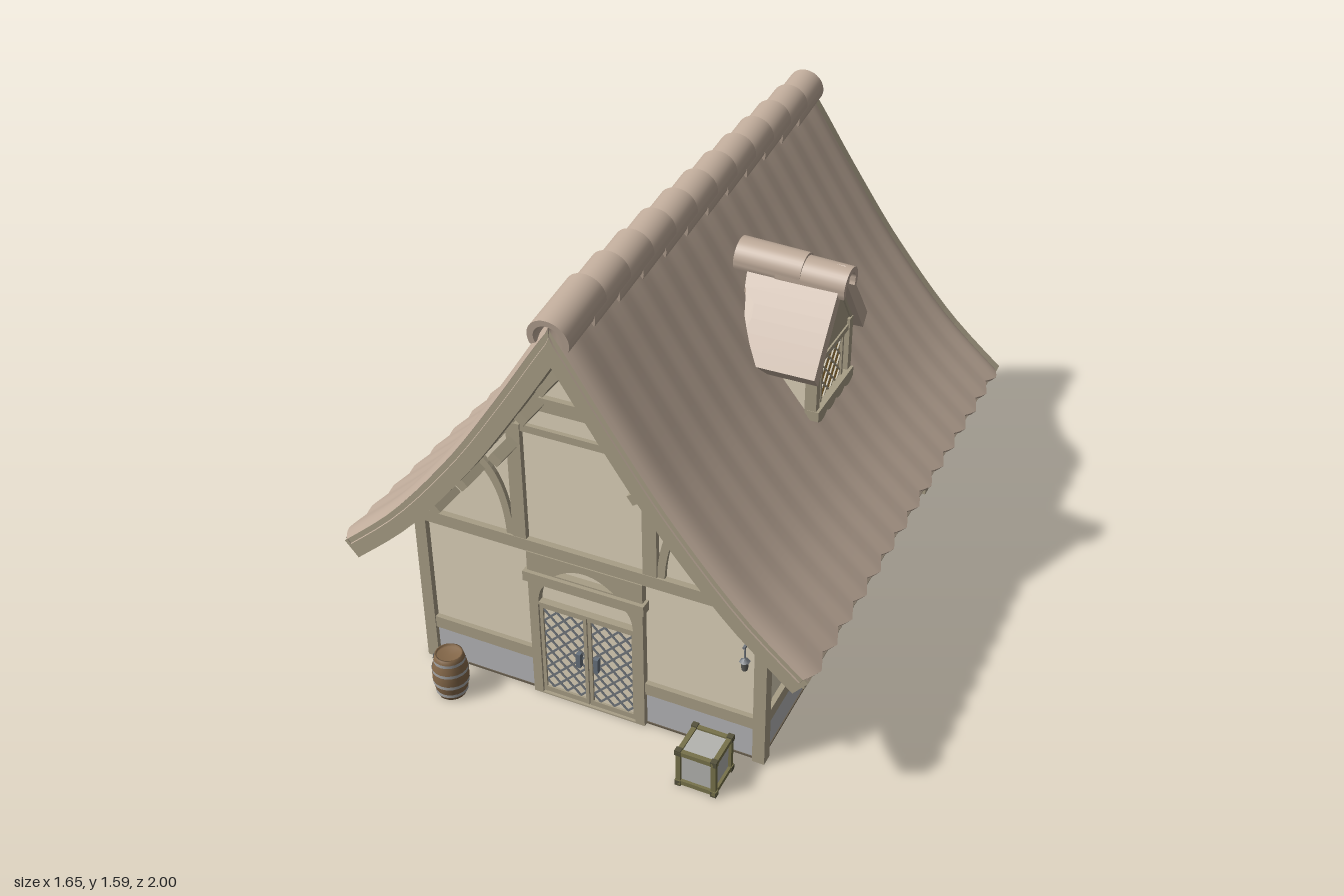
import * as THREE from 'three';
import { toCreasedNormals } from 'three/addons/utils/BufferGeometryUtils.js';

const V = (x, y) => new THREE.Vector2(x, y);
const mats = {};
const mat = (c) => (mats[c] ??= new THREE.MeshStandardMaterial({ color: c, side: THREE.DoubleSide }));
const TIMBER = 0xa89e86, WALL = 0xded3bb, ROOF = 0xbfab9a, STONE = 0xb6b6b8, GLASS = 0xa8823e, IRON = 0x72777d;

function add(parent, name, geo, color) {
  const m = new THREE.Mesh(geo, mat(color));
  m.name = name;
  parent.add(m);
  return m;
}
// box given by its limits
function box(parent, name, x0, x1, y0, y1, z0, z1, color = TIMBER) {
  const m = add(parent, name, new THREE.BoxGeometry(x1 - x0, y1 - y0, z1 - z0), color);
  m.position.set((x0 + x1) / 2, (y0 + y1) / 2, (z0 + z1) / 2);
  return m;
}
function group(parent, name) {
  const g = new THREE.Group();
  g.name = name;
  parent.add(g);
  return g;
}
function prism(shape, z0, z1) {
  return new THREE.ExtrudeGeometry(shape, { depth: z1 - z0, bevelEnabled: false, curveSegments: 12 }).translate(0, 0, z0);
}

// roof slope from ridge to eave, with inward offsets
const slope = new THREE.SplineCurve([V(0, 1.55), V(0.07, 1.452), V(0.213, 1.235), V(0.39, 0.985), V(0.613, 0.724), V(0.827, 0.533)]);
function roofPoint(t, d) {
  const p = slope.getPoint(t), g = slope.getTangent(t);
  return V(p.x + g.y * d, p.y - g.x * d);
}
function offset(d, tEnd = 1) {
  const pts = [];
  for (let i = 0; i <= 24; i++) pts.push(roofPoint((i / 24) * tEnd, d));
  return [V(0, 1.55 - d / slope.getTangent(0).x), ...pts.filter((p) => p.x > 0.002)];
}
function slopeBands(parent, name, d0, d1, z0, z1, color, tEnd = 1) {
  const pts = [...offset(d0, tEnd), ...offset(d1, tEnd).reverse()];
  for (const s of [1, -1]) add(parent, name, prism(new THREE.Shape(pts.map((p) => V(p.x * s, p.y))), z0, z1), color);
}

// tiled skin with a zigzag eave and rolled verges
function tileSkin(s) {
  const nz = 120, n = 20, rows = 2 * n + 2, pos = [], idx = [];
  for (let i = 0; i <= nz; i++) {
    const u = i / nz, z = 0.942 - u * 1.917, f = (u * 15) % 1, tooth = Math.abs(2 * f - 1);
    const edge = Math.max(0, 1 - Math.min(u, 1 - u) / 0.025);
    for (let j = 0; j < rows; j++) {
      const inner = j > n, k = inner ? rows - 1 - j : j;
      const p = roofPoint((k / n) * (1 - 0.03 * tooth), (inner ? 0.025 : 0.004 * tooth) + 0.015 * edge * edge);
      pos.push(s * Math.max(0, p.x), p.y, z);
      if (i < nz && j < rows - 1) {
        const a = i * rows + j, b = a + rows;
        idx.push(...(s > 0 ? [a, a + 1, b, b, a + 1, b + 1] : [a, b, a + 1, b, b + 1, a + 1]));
      }
    }
  }
  const g = new THREE.BufferGeometry();
  g.setAttribute('position', new THREE.Float32BufferAttribute(pos, 3));
  g.setIndex(idx);
  return toCreasedNormals(g, 0.6);
}

// half-round ridge tile, running from z = 0 to z = len, front end lower
function ridgeTile(r, len, tilt) {
  const sh = new THREE.Shape();
  sh.absarc(0, 0, r, -0.45, Math.PI + 0.45, false);
  sh.absarc(0, 0, r - 0.02, Math.PI + 0.45, -0.45, true);
  return toCreasedNormals(prism(sh, 0, len), 0.5).rotateX(tilt);
}

// diamond lattice clipped to a rectangle centred on the origin
function lattice(parent, w, h, step, t, color) {
  for (const s of [1, -1]) {
    for (let c = -(w + h) / 2 + step / 2; c < (w + h) / 2; c += step) {
      const x0 = Math.max(-w / 2, -h / 2 - c), x1 = Math.min(w / 2, h / 2 - c);
      if (x1 - x0 < 0.004) continue;
      const bar = add(parent, 'latticeBar', new THREE.BoxGeometry((x1 - x0) * Math.SQRT2, t, t), color);
      bar.position.set(s * (x0 + x1) / 2, (x0 + x1) / 2 + c, 0);
      bar.rotation.z = s * Math.PI / 4;
    }
  }
}

// timber gable, facing +z with its wall at z = 0
function gable(parent, name) {
  const g = group(parent, name);
  slopeBands(g, 'gableRafter', 0.05, 0.088, -0.01, 0.018, TIMBER, 0.8);
  box(g, 'tieBeam', -0.62, 0.62, 0.583, 0.627, -0.01, 0.022);
  box(g, 'lowerCollar', -0.21, 0.21, 1.035, 1.06, -0.01, 0.015);
  box(g, 'upperCollar', -0.17, 0.17, 1.13, 1.178, -0.01, 0.02);
  box(g, 'kingPost', -0.012, 0.012, 1.17, 1.4, -0.01, 0.015);
  for (const s of [1, -1]) {
    box(g, 'gablePost', s * 0.229 - 0.024, s * 0.229 + 0.024, 0.62, 1.06, -0.01, 0.02);
    const b = new THREE.Shape();
    b.moveTo(s * 0.25, 0.62);
    b.quadraticCurveTo(s * 0.265, 0.85, s * 0.36, 0.905);
    b.lineTo(s * 0.385, 0.885);
    b.quadraticCurveTo(s * 0.285, 0.82, s * 0.277, 0.62);
    add(g, 'curvedBrace', prism(b, -0.01, 0.015), TIMBER);
    box(g, 'sill', s * 0.4 - 0.2, s * 0.4 + 0.2, 0.133, 0.178, -0.01, 0.018);
  }
  return g;
}

// casement window facing +z
function casement(parent) {
  const g = group(parent, 'sideWindow');
  box(g, 'glass', -0.105, 0.105, 0.21, 0.49, 0, 0.008, GLASS);
  for (const s of [1, -1]) {
    box(g, 'jamb', s * 0.116 - 0.016, s * 0.116 + 0.016, 0.2, 0.5, 0, 0.026);
    box(g, 'stile', s * 0.095 - 0.006, s * 0.095 + 0.006, 0.215, 0.49, 0, 0.016);
    box(g, 'glazingBar', s * 0.05 - 0.003, s * 0.05 + 0.003, 0.215, 0.49, 0, 0.013);
  }
  box(g, 'mullion', -0.009, 0.009, 0.21, 0.49, 0, 0.018);
  for (let i = 0; i < 4; i++) box(g, 'glazingBar', -0.1, 0.1, 0.235 + i * 0.075, 0.241 + i * 0.075, 0, 0.013);
  box(g, 'windowSill', -0.138, 0.138, 0.197, 0.217, -0.01, 0.083);
  box(g, 'lintel', -0.138, 0.138, 0.485, 0.515, -0.01, 0.036);
  return g;
}

function doorway(parent) {
  const g = group(parent, 'doorway');
  const s = new THREE.Shape([V(-0.205, 0), V(0.205, 0), V(0.205, 0.585), V(-0.205, 0.585)]);
  const arch = new THREE.Path();
  arch.moveTo(-0.17, 0.39).lineTo(0.17, 0.39).quadraticCurveTo(0.165, 0.475, 0.11, 0.475);
  arch.lineTo(-0.11, 0.475).quadraticCurveTo(-0.165, 0.475, -0.17, 0.39);
  const top = new THREE.Path();
  top.moveTo(-0.105, 0.517).lineTo(0.105, 0.517).quadraticCurveTo(0, 0.6, -0.105, 0.517);
  s.holes.push(new THREE.Path([V(-0.172, 0.005), V(0.172, 0.005), V(0.172, 0.38), V(-0.172, 0.38)]), arch, top);
  add(g, 'doorFrame', prism(s, 0.77, 0.806), TIMBER);
  box(g, 'doorHead', -0.215, 0.215, 0.475, 0.512, 0.78, 0.82);
  for (const k of [1, -1]) {
    const leaf = group(g, 'doorLeaf');
    leaf.position.set(k * 0.087, 0.195, 0.79);
    box(leaf, 'doorPanel', -0.085, 0.085, -0.188, 0.185, -0.01, 0, WALL);
    for (const e of [1, -1]) {
      box(leaf, 'doorStile', e * 0.079 - 0.006, e * 0.079 + 0.006, -0.188, 0.185, 0, 0.008);
      box(leaf, 'doorRail', -0.08, 0.08, e * 0.177 - 0.01, e * 0.177 + 0.01, 0, 0.008);
    }
    lattice(leaf, 0.146, 0.334, 0.05, 0.007, IRON);
    box(leaf, 'doorHandle', -k * 0.055 - 0.008, -k * 0.055 + 0.008, -0.03, 0.025, 0, 0.02, 0x66707c);
  }
}

// dormer facing +x, built facing +z and turned
function dormer(parent) {
  const g = group(parent, 'dormer');
  g.rotation.y = Math.PI / 2;
  g.position.z = -0.025;
  const f = new THREE.Shape([V(-0.15, 0.9), V(0.15, 0.9), V(0.15, 1.1), V(0, 1.31), V(-0.15, 1.1)]);
  add(g, 'dormerBody', prism(f, 0.28, 0.478), WALL);
  add(g, 'dormerGable', prism(new THREE.Shape([V(-0.17, 1.07), V(0.17, 1.07), V(0, 1.32)]), 0.46, 0.49), TIMBER);
  for (const s of [1, -1]) {
    box(g, 'dormerPost', s * 0.143 - 0.015, s * 0.143 + 0.015, 0.88, 1.1, 0.46, 0.5);
    box(g, 'dormerJamb', s * 0.095 - 0.006, s * 0.095 + 0.006, 0.89, 1.07, 0.47, 0.492);
    const rafter = box(g, 'gableTrim', -0.008, 0.008, -0.14, 0.14, 0.487, 0.497);
    rafter.position.set(s * 0.088, 1.19, 0.492);
    rafter.rotation.z = s * 0.62;
    // roof slope with a wavy rear edge lying on the main roof
    const pts = [];
    for (let i = 0; i <= 8; i++) pts.push(V(s * 0.24 * i / 8, 1.365 - 0.29 * i / 8 + 0.01 * Math.sin(i / 8 * Math.PI)));
    for (let i = 8; i >= 0; i--) pts.push(V(s * 0.205 * i / 8, 1.315 - 0.28 * i / 8));
    const geo = prism(new THREE.Shape(pts), 0, 0.52), p = geo.attributes.position;
    for (let i = 0; i < p.count; i++) {
      const a = Math.abs(p.getX(i));
      if (p.getZ(i) < 0.1) p.setZ(i, 0.19 + 0.45 * a + 0.02 * Math.sin(a * 60));
    }
    geo.computeVertexNormals();
    add(g, 'dormerRoof', geo, ROOF);
  }
  box(g, 'dormerGlass', -0.09, 0.09, 0.89, 1.07, 0.47, 0.482, GLASS);
  const bars = group(g, 'dormerLattice');
  bars.position.set(0, 0.98, 0.484);
  lattice(bars, 0.18, 0.17, 0.06, 0.006, TIMBER);
  box(g, 'dormerHead', -0.155, 0.155, 1.06, 1.08, 0.46, 0.496);
  // scalloped apron below the window
  const ap = new THREE.Shape();
  ap.moveTo(-0.16, 0.905).lineTo(-0.16, 0.87);
  for (let i = 0; i < 4; i++) ap.quadraticCurveTo(-0.12 + i * 0.08, 0.845, -0.08 + i * 0.08, 0.872);
  ap.lineTo(0.16, 0.905);
  add(g, 'dormerApron', prism(ap, 0.47, 0.51), TIMBER);
  add(g, 'dormerRidgeTile', ridgeTile(0.062, 0.23, 0.05), ROOF).position.set(0, 1.328, 0.16);
  add(g, 'dormerRidgeTile', ridgeTile(0.062, 0.235, 0.05), ROOF).position.set(0, 1.312, 0.305);
}

function props(parent) {
  const barrel = group(parent, 'barrel');
  barrel.position.set(-0.453, 0, 0.925);
  const side = new THREE.SplineCurve([V(0.047, 0), V(0.058, 0.045), V(0.061, 0.083), V(0.058, 0.12), V(0.047, 0.165)]).getPoints(12);
  add(barrel, 'barrelStaves', new THREE.LatheGeometry([V(0, 0), ...side, V(0.042, 0.165), V(0.042, 0.155), V(0, 0.155)], 20), 0x86694a);
  for (const [y, r] of [[0.02, 0.054], [0.06, 0.061], [0.108, 0.061], [0.147, 0.054]])
    add(barrel, 'barrelHoop', new THREE.CylinderGeometry(r, r, 0.012, 20, 1, true), 0xa8a8a8).position.y = y;

  const crate = group(parent, 'crate');
  crate.position.set(0.475, 0.074, 0.928);
  box(crate, 'crateCore', -0.058, 0.058, -0.062, 0.062, -0.058, 0.058, 0xb4b4b0);
  for (const a of [1, -1]) for (const b of [1, -1]) {
    [[0, 0, 0], [Math.PI / 2, 0, 0], [0, 0, Math.PI / 2]].forEach((r, i) => {
      const m = add(crate, 'crateEdge', new THREE.BoxGeometry(0.016, 0.142, 0.016), 0x77724a);
      m.rotation.set(...r);
      m.position.set(...[[a, 0, b], [a, b, 0], [0, a, b]][i].map((v) => v * 0.06));
    });
    for (const c of [1, -1]) box(crate, 'crateCorner', a * 0.061 - 0.01, a * 0.061 + 0.01, b * 0.063 - 0.01, b * 0.063 + 0.01, c * 0.061 - 0.01, c * 0.061 + 0.01, 0x55523c);
  }

  const lamp = group(parent, 'hangingLantern');
  box(lamp, 'bracketPlate', 0.575, 0.589, 0.49, 0.55, 0.795, 0.806, IRON);
  box(lamp, 'bracketArm', 0.578, 0.586, 0.53, 0.538, 0.8, 0.885, IRON);
  box(lamp, 'lanternChain', 0.58, 0.584, 0.48, 0.53, 0.873, 0.877, IRON);
  add(lamp, 'lanternBody', new THREE.CylinderGeometry(0.013, 0.01, 0.032, 6), 0x5c5c58).position.set(0.582, 0.46, 0.875);
  add(lamp, 'lanternCap', new THREE.ConeGeometry(0.018, 0.014, 6), IRON).position.set(0.582, 0.483, 0.875);
}

export function createModel() {
  const house = new THREE.Group();
  house.name = 'timberHouse';

  // walls, base and floor
  const half = offset(0.05).filter((p) => p.x < 0.6);
  const outline = [V(0.6, 0.1), V(0.6, 0.66), ...half.reverse()];
  const mirrored = outline.slice(0, -1).reverse().map((p) => V(-p.x, p.y));
  add(house, 'walls', prism(new THREE.Shape([...outline, ...mirrored]), -0.828, 0.78), WALL);
  box(house, 'stoneBase', -0.606, 0.606, 0.004, 0.135, -0.834, 0.786, STONE);
  box(house, 'floor', -0.61, 0.61, 0, 0.006, -0.84, 0.79, 0x665c4c);

  gable(house, 'frontGable').position.z = 0.78;
  const back = gable(house, 'backGable');
  back.rotation.y = Math.PI;
  back.position.z = -0.828;
  box(back, 'backSill', -0.6, 0.6, 0.133, 0.178, -0.01, 0.018);

  for (const s of [1, -1]) {
    for (const z of [0.78, -0.827]) box(house, 'cornerPost', s * 0.604 - 0.021, s * 0.604 + 0.021, 0, 0.6, z - 0.022, z + 0.022);
    box(house, 'sideSill', s * 0.6 - 0.018, s * 0.6 + 0.018, 0.133, 0.18, -0.83, 0.78);
    box(house, 'wallPlate', s * 0.604 - 0.021, s * 0.604 + 0.021, 0.56, 0.625, -0.84, 0.79);
    for (const z of [0.487, -0.015, -0.515]) {
      const w = casement(house);
      w.rotation.y = s * Math.PI / 2;
      w.position.set(s * 0.602, 0, z);
    }
    // purlins carrying the overhang
    for (const [x, y, a] of [[0.065, 1.28, 1.0], [0.135, 1.16, 0.97], [0.235, 0.985, 0.95], [0.365, 0.855, 0.85], [0.475, 0.725, 0.8]]) {
      const p = box(house, 'purlin', -0.017, 0.017, -0.02, 0.02, -0.975, 0.9);
      p.position.x = s * x;
      p.position.y = y;
      p.rotation.z = -s * a;
    }
    add(house, 'roofTiles', tileSkin(s), ROOF);
  }
  slopeBands(house, 'roofBoards', 0.015, 0.065, -0.97, 0.93, 0xa39483, 0.985);
  slopeBands(house, 'frontBargeBoard', 0.02, 0.092, 0.885, 0.938, TIMBER, 0.99);
  slopeBands(house, 'backBargeBoard', 0.012, 0.092, -0.998, -0.95, TIMBER, 0.99);
  for (let i = 0; i < 12; i++)
    add(house, 'ridgeTile', ridgeTile(0.067, 0.23, 0.16), ROOF).position.set(0, 1.524, 0.72 - i * 0.154);

  doorway(house);
  dormer(house);
  props(house);
  return house;
}
